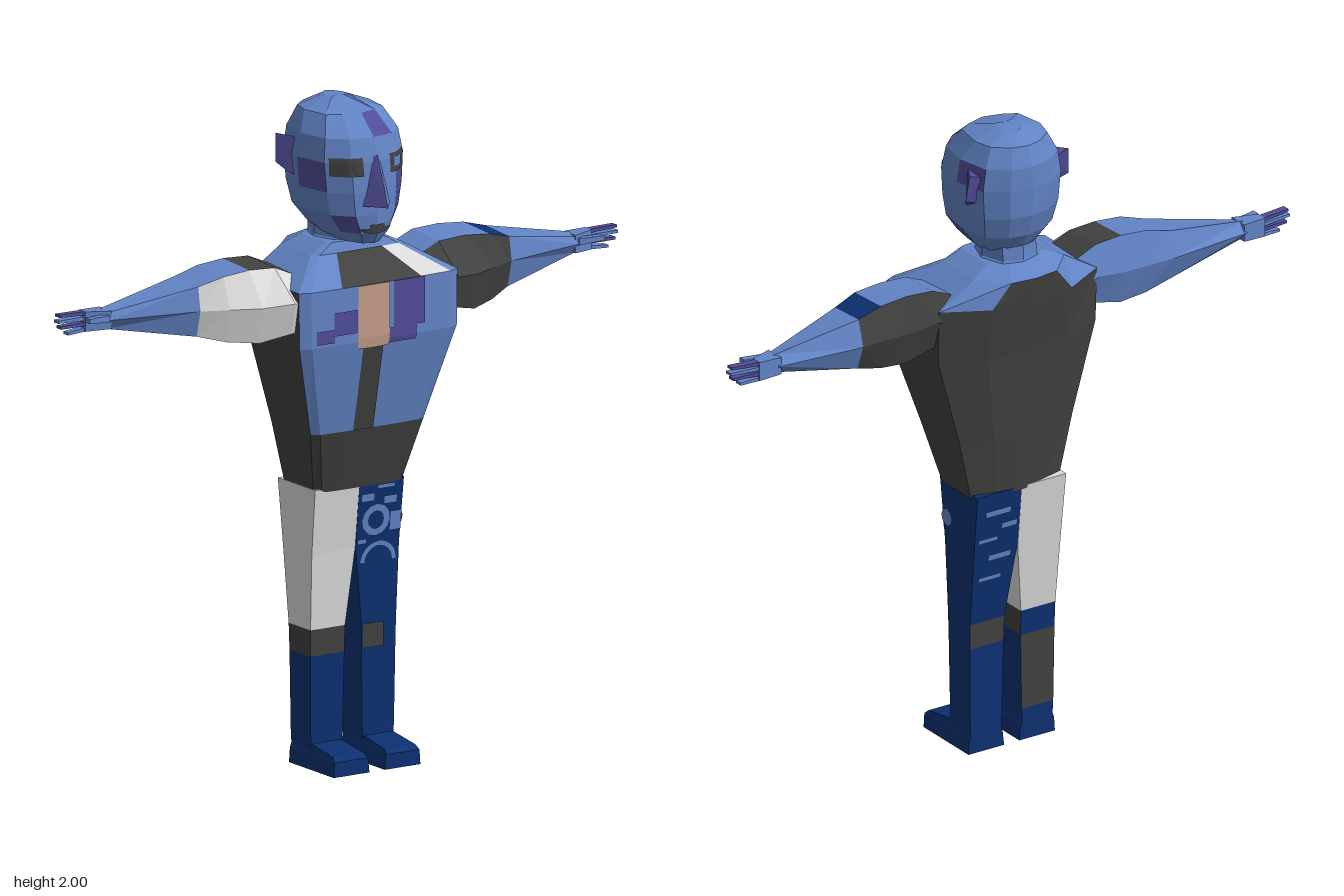
import * as THREE from 'three';
import { ConvexGeometry } from 'three/addons/geometries/ConvexGeometry.js';

const PALETTE = { blue: 0x6284c6, purple: 0x514c98, charcoal: 0x414140, tan: 0xc59c88, paleGrey: 0xdadada, navy: 0x0c3070 };

export function createModel() {
  const model = new THREE.Group();
  model.name = 'figure';
  const mats = {};
  for (const [name, color] of Object.entries(PALETTE)) {
    mats[name] = new THREE.MeshStandardMaterial({ color, flatShading: true, side: THREE.DoubleSide });
    mats[name].name = name;
  }
  const add = (name, geo, material, parent = model) => {
    const mesh = new THREE.Mesh(geo, material);
    mesh.name = name;
    parent.add(mesh);
    return mesh;
  };

  // Skin over a list of rings of [x, y, z]; paint(row, side) names the colour of each face
  function loft(name, rings, paint, parent) {
    const n = rings[0].length, buckets = {};
    let volume = 0;
    const tri = (key, a, b, c) => {
      (buckets[key] ??= []).push([a, b, c]);
      const [p, q, r] = [a, b, c].map((v) => new THREE.Vector3(...v));
      volume += p.dot(q.cross(r));
    };
    for (let j = 0; j < rings.length - 1; j++) {
      for (let i = 0; i < n; i++) {
        const k = (i + 1) % n, key = paint(j, i);
        tri(key, rings[j][i], rings[j][k], rings[j + 1][k]);
        tri(key, rings[j][i], rings[j + 1][k], rings[j + 1][i]);
      }
    }
    const last = rings.length - 1;
    for (let i = 1; i < n - 1; i++) {
      tri(paint(0, i), rings[0][0], rings[0][i + 1], rings[0][i]);
      tri(paint(last - 1, i), rings[last][0], rings[last][i], rings[last][i + 1]);
    }
    const geo = new THREE.BufferGeometry(), pos = [], list = [];
    for (const [key, tris] of Object.entries(buckets)) {
      geo.addGroup(pos.length / 3, tris.length * 3, list.length);
      list.push(mats[key]);
      for (const t of tris) pos.push(...(volume < 0 ? [t[0], t[2], t[1]] : t).flat());
    }
    geo.setAttribute('position', new THREE.Float32BufferAttribute(pos, 3));
    geo.computeVertexNormals();
    return add(name, geo, list, parent);
  }

  // Symmetric ring from half an outline, front centre to back centre
  const mirrorRing = (y, half) => [...half, ...half.slice(1, -1).reverse().map(([x, z]) => [-x, z])].map(([x, z]) => [x, y, z]);

  // Depth of a lofted surface at (x, y) on its front (sign 1) or back (sign -1)
  function depth(rings, x, y, sign) {
    let j = 0;
    while (j < rings.length - 2 && rings[j + 1][0][1] < y) j++;
    const t = THREE.MathUtils.clamp((y - rings[j][0][1]) / (rings[j + 1][0][1] - rings[j][0][1]), 0, 1);
    const pts = rings[j].map((p, i) => [0, 2].map((c) => p[c] + (rings[j + 1][i][c] - p[c]) * t));
    let best = -9;
    pts.forEach(([ax, az], i) => {
      const [bx, bz] = pts[(i + 1) % pts.length];
      if ((x - ax) * (x - bx) > 0) return;
      const s = Math.abs(bx - ax) < 1e-6 ? 0 : (x - ax) / (bx - ax);
      best = Math.max(best, sign * (az + (bz - az) * s));
    });
    return best < -8 ? 0 : sign * (best + 0.004);
  }
  // Lay a flat geometry over a lofted surface
  function drape(name, color, geo, rings, sign = 1) {
    const p = geo.attributes.position;
    for (let i = 0; i < p.count; i++) p.setZ(i, depth(rings, p.getX(i), p.getY(i), sign));
    if (sign < 0) geo.setIndex([...geo.index.array].reverse());
    geo.computeVertexNormals();
    return add(name, geo, mats[color]);
  }
  const panel = (name, color, x0, x1, y0, y1, rings, sign) =>
    drape(name, color, new THREE.PlaneGeometry(x1 - x0, y1 - y0, 4, 6).translate((x0 + x1) / 2, (y0 + y1) / 2, 0), rings, sign);

  // Torso: [y, half width, front, side back, back]
  const torso = [
    [0.84, 0.157, 0.07, -0.1, -0.13], [1.03, 0.2, 0.12, -0.105, -0.15], [1.31, 0.278, 0.178, -0.11, -0.175],
    [1.48, 0.28, 0.178, -0.115, -0.2], [1.555, 0.16, 0.06, -0.12, -0.21], [1.585, 0.1, 0.05, -0.1, -0.15],
  ].map(([y, w, f, s, b]) => mirrorRing(y, [[0, f], [w * 0.5, f], [w * 0.88, f - 0.004], [w, f - 0.02], [w, s], [w * 0.5, b + 0.01], [0, b]]));
  loft('torso', torso, (row, i) => {
    const side = Math.min(i, 11 - i);
    if (row === 0) return 'charcoal';
    if (row < 3) return side < 3 ? 'blue' : 'charcoal';
    if (row === 3) return side === 0 || side === 5 ? 'charcoal' : i === 1 ? 'paleGrey' : 'blue';
    return 'blue';
  });
  panel('shirtStrip', 'tan', -0.085, 0.025, 1.29, 1.48, torso);
  panel('lowerStrip', 'charcoal', -0.065, 0.005, 1.03, 1.29, torso);
  panel('chestPatch', 'purple', 0.04, 0.15, 1.34, 1.48, torso);
  panel('chestPatchLower', 'purple', 0.025, 0.12, 1.295, 1.34, torso);
  panel('chestMark', 'purple', -0.17, -0.09, 1.34, 1.41, torso);
  panel('chestMarkTip', 'purple', -0.23, -0.17, 1.32, 1.36, torso);

  // Neck
  loft('neck', [[1.55, 0.115, 0.055, -0.16], [1.59, 0.085, 0.04, -0.145], [1.66, 0.085, 0.03, -0.14]].map(([y, w, f, b]) =>
    mirrorRing(y, [[0, f], [w * 0.7, f - 0.02], [w, (f + b) / 2], [w * 0.7, b + 0.02], [0, b]])), () => 'blue');

  // Head: [y, half width, front, back]
  const head = [
    [1.59, 0.06, 0.135, -0.07], [1.625, 0.095, 0.155, -0.135], [1.68, 0.138, 0.158, -0.17], [1.75, 0.152, 0.158, -0.19],
    [1.84, 0.16, 0.152, -0.195], [1.91, 0.148, 0.135, -0.193], [1.97, 0.115, 0.07, -0.172], [2.0, 0.035, -0.05, -0.12],
  ].map(([y, w, f, b]) => mirrorRing(y, [[0, f], [w * 0.5, f - 0.015], [w * 0.87, f * 0.6 - 0.01], [w, -0.03 + (y > 1.95 ? -0.03 : 0)],
    [w * 0.86, b * 0.7], [w * 0.45, b + 0.012], [0, b]]));
  const purpleFaces = new Set(['2,1', '3,1', '5,0', '1,10', '1,2', '4,3', '3,9']);
  loft('head', head, (row, i) => (purpleFaces.has(`${row},${i}`) ? 'purple' : 'blue'));
  panel('rightEye', 'charcoal', -0.13, -0.045, 1.8, 1.855, head);
  panel('leftEye', 'charcoal', 0.05, 0.13, 1.8, 1.855, head);
  panel('leftEyeGlint', 'blue', 0.065, 0.105, 1.815, 1.845, head).position.z = 0.003;
  panel('mouth', 'charcoal', -0.055, 0.055, 1.625, 1.64, head);
  panel('mouthPeak', 'charcoal', -0.025, 0.025, 1.64, 1.652, head);

  // Nose halves and ears
  const convex = (name, color, pts) => add(name, new ConvexGeometry(pts.map((p) => new THREE.Vector3(...p))), mats[color]);
  for (const s of [-1, 1]) {
    const side = s > 0 ? 'left' : 'right';
    convex(side + 'Nose', s > 0 ? 'blue' : 'purple',
      [[0, 1.86, 0.155], [0, 1.71, 0.21], [s * 0.05, 1.71, 0.145], [0, 1.71, 0.12], [s * 0.018, 1.85, 0.14]]);
    convex(side + 'Ear', 'purple', [[s * 0.14, 1.89, -0.06], [s * 0.175, 1.895, -0.12], [s * 0.182, 1.81, -0.11],
      [s * 0.14, 1.77, -0.06], [s * 0.165, 1.79, -0.085], [s * 0.13, 1.88, -0.12], [s * 0.13, 1.79, -0.1]]);
  }

  // Arms: [x, bottom, top, back, front]
  const armRows = [[0.22, 1.36, 1.515, -0.12, 0.15], [0.29, 1.355, 1.545, -0.12, 0.155], [0.38, 1.332, 1.55, -0.118, 0.12],
    [0.47, 1.34, 1.542, -0.118, 0.08], [0.55, 1.36, 1.52, -0.118, 0.042], [0.83, 1.41, 1.468, -0.09, -0.02]];
  for (const s of [-1, 1]) {
    const side = s > 0 ? 'left' : 'right';
    const rings = armRows.map(([x, b, t, zb, zf]) => {
      const m = (b + t) / 2, top = Math.min(zf - 0.012, 0.045);
      return [[t, zb + 0.025], [t - 0.008, top], [m, zf], [b, zf - 0.02], [b, zb + 0.03], [m, zb]].map(([y, z]) => [s * x, y, z]);
    });
    loft(side + 'Arm', rings, (row, i) => {
      if (row > 3) return 'blue';
      if (s > 0) return i === 0 ? (row === 3 ? 'navy' : 'blue') : i === 3 ? 'blue' : 'charcoal';
      if (i === 0) return row < 2 ? 'charcoal' : 'blue';
      return i < 3 ? 'paleGrey' : i === 3 ? 'charcoal' : 'blue';
    });
    // Hand: palm, four stacked fingers and a thumb
    const hand = new THREE.Group();
    hand.name = side + 'Hand';
    model.add(hand);
    loft('palm', [[0.82, 1.412, 1.466, -0.088, -0.022], [0.895, 1.408, 1.468, -0.085, -0.05]].map(([x, b, t, zb, zf]) =>
      [[t, zb], [t, zf], [b, zf], [b, zb]].map(([y, z]) => [s * x, y, z])), () => 'blue', hand);
    const digit = (name, x0, x1, y0, y1, z0, z1, h, color) => loft(name, [[x0, y0, z0, h], [x1, y1, z1, h * 0.7]].map(([x, y, z, r]) =>
      [[r, -0.012], [r, 0.012], [-r, 0.012], [-r, -0.012]].map(([dy, dz]) => [s * x, y + dy, z + dz])), () => color, hand);
    [[0.985, 1.466], [0.99, 1.449], [0.98, 1.43], [0.955, 1.409]].forEach(([x, y], i) =>
      digit('finger' + (i + 1), 0.88, x, 1.461 - i * 0.016, y, -0.07, -0.063, 0.006, i % 2 ? 'blue' : 'purple'));
    digit('thumb', 0.83, 0.91, 1.445, 1.45, -0.03, -0.015, 0.01, 'blue');
  }

  // Legs: [y, inner x, outer x, front, back], mirrored about a line just right of centre
  const legRows = [[0.065, 0.032, 0.14, 0.03, -0.075], [0.1, 0.03, 0.142, 0.03, -0.075], [0.34, 0.025, 0.145, 0.033, -0.077],
    [0.42, 0.024, 0.146, 0.035, -0.08], [0.65, -0.004, 0.149, 0.046, -0.105], [0.85, -0.005, 0.152, 0.068, -0.128]];
  const footRows = [[0, 0.022, 0.148, 0.16, -0.075], [0.045, 0.027, 0.145, 0.16, -0.075], [0.058, 0.032, 0.14, 0.145, -0.075], [0.075, 0.035, 0.138, 0.03, -0.075]];
  const boxRings = (rows, s) => rows.map(([y, a, b, f, k]) =>
    [[a, f], [b, f], [b, k], [a, k]].map(([x, z]) => [s > 0 ? x : -0.01 - x, y, z]));
  loft('leftLeg', boxRings(legRows, 1), (row, i) => (row === 2 && i === 2 ? 'charcoal' : 'navy'));
  // Faces run front, outer, back, inner
  loft('rightLeg', boxRings(legRows, -1), (row, i) => {
    if (row > 2) return 'paleGrey';
    if (row === 2) return i === 2 ? 'navy' : 'charcoal';
    return row === 1 && i === 2 ? 'charcoal' : 'navy';
  });
  loft('leftFoot', boxRings(footRows, 1), () => 'navy');
  loft('rightFoot', boxRings(footRows, -1), () => 'navy');

  // Left leg pattern: knee patch, rings and bars
  const leg = boxRings(legRows, 1);
  panel('kneePatch', 'charcoal', 0.028, 0.1, 0.34, 0.415, leg);
  drape('thighRing', 'blue', new THREE.RingGeometry(0.027, 0.05, 12).translate(0.06, 0.73, 0), leg);
  drape('kneeArc', 'blue', new THREE.RingGeometry(0.048, 0.064, 12, 1, 0, Math.PI).translate(0.075, 0.6, 0), leg);
  [[0.005, 0.05, 0.79, 0.815], [0.085, 0.13, 0.775, 0.8], [0.11, 0.148, 0.69, 0.75], [0.0, 0.03, 0.66, 0.675], [0.06, 0.12, 0.825, 0.838]]
    .forEach(([a, b, c, d]) => panel('thighBar', 'blue', a, b, c, d, leg));
  [[0.03, 0.12, 0.775, 0.795], [0.005, 0.06, 0.725, 0.745], [0.07, 0.14, 0.69, 0.705], [0.02, 0.1, 0.625, 0.645], [0.05, 0.13, 0.56, 0.575]]
    .forEach(([a, b, c, d]) => panel('backThighBar', 'blue', a, b, c, d, leg, -1));
  const spot = add('sideSpot', new THREE.CircleGeometry(0.028, 8), mats.blue);
  spot.rotation.y = Math.PI / 2;
  spot.position.set(0.154, 0.73, 0.03);

  return model;
}
